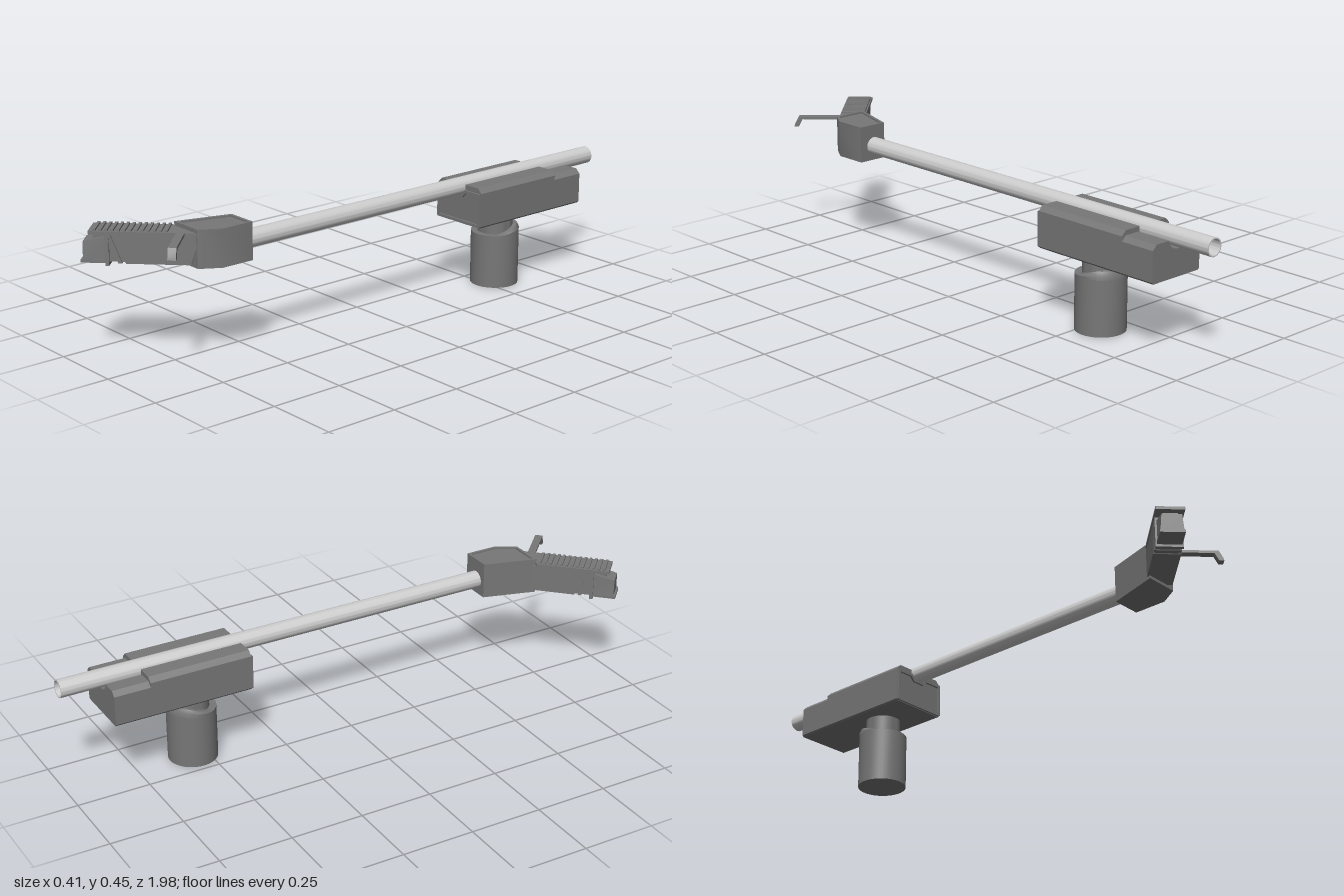
import * as THREE from 'three';
import { toCreasedNormals } from 'three/addons/utils/BufferGeometryUtils.js';

const dark = new THREE.MeshStandardMaterial({ color: 0x777777, side: THREE.DoubleSide });
const light = new THREE.MeshStandardMaterial({ color: 0xcccccc, side: THREE.DoubleSide });
const TUBE_X = 0.097, TUBE_Y = 0.376, TUBE_R = 0.03;

const poly = (pts) => new THREE.Shape(pts.map(([x, y]) => new THREE.Vector2(x, y)));
const extrude = (shape, depth) =>
  new THREE.ExtrudeGeometry(shape, { depth, bevelEnabled: false, curveSegments: 16 });

function add(parent, name, geometry, material = dark) {
  const mesh = new THREE.Mesh(toCreasedNormals(geometry, 0.6), material);
  mesh.name = name;
  parent.add(mesh);
  return mesh;
}

// Box given by its limits on each axis
function box(parent, name, x0, x1, y0, y1, z0, z1) {
  const g = new THREE.BoxGeometry(x1 - x0, y1 - y0, z1 - z0);
  g.translate((x0 + x1) / 2, (y0 + y1) / 2, (z0 + z1) / 2);
  return add(parent, name, g);
}

// Plan outline (x, z) raised from y0 to y1
function slab(parent, name, pts, y0, y1, hole) {
  const shape = poly(pts.map(([x, z]) => [x, -z]));
  if (hole) shape.holes.push(poly(hole.map(([x, z]) => [x, -z])));
  return add(parent, name, extrude(shape, y1 - y0).rotateX(-Math.PI / 2).translate(0, y0, 0));
}

// Side outline (z, y) spread from x0 to x1
function sideProfile(parent, name, pts, x0, x1) {
  const g = extrude(poly(pts.map(([z, y]) => [-z, y])), x1 - x0);
  return add(parent, name, g.rotateY(Math.PI / 2).translate(x0, 0, 0));
}

// Housing cross-section with a round channel for the tube
function housingShape(top, channel) {
  const c = 0.016, lo = 0.248, s = new THREE.Shape();
  const dy = top - TUBE_Y, dx = Math.sqrt(channel * channel - dy * dy);
  const a = Math.atan2(dy, dx);
  s.moveTo(0, lo);
  s.lineTo(0.2, lo);
  s.lineTo(0.205, lo + 0.006);
  s.lineTo(0.205, top - c);
  s.lineTo(0.205 - c, top);
  s.lineTo(TUBE_X + dx, top);
  s.absarc(TUBE_X, TUBE_Y, channel, a, -Math.PI - a, true);
  s.lineTo(-0.005 + c, top);
  s.lineTo(-0.005, top - c);
  s.lineTo(-0.005, lo + 0.006);
  s.closePath();
  return s;
}

function buildHousing() {
  const g = new THREE.Group();
  g.name = 'housing';
  add(g, 'housingBody', extrude(housingShape(0.386, 0.032), 0.355).translate(0, 0, -0.73));
  add(g, 'housingRear', extrude(housingShape(0.37, 0.038), 0.125).translate(0, 0, -0.855));
  // Raised rim around the front face
  const rim = poly([[0, 0.25], [0.2, 0.25], [0.203, 0.253], [0.203, 0.368], [0.13, 0.368],
    [0.117, 0.352], [0.077, 0.352], [0.064, 0.368], [-0.003, 0.368], [-0.003, 0.253]]);
  rim.holes.push(poly([[0.006, 0.26], [0.195, 0.26], [0.195, 0.358], [0.135, 0.358],
    [0.12, 0.342], [0.074, 0.342], [0.059, 0.358], [0.006, 0.358]]));
  add(g, 'frontRim', extrude(rim, 0.008).translate(0, 0, -0.376));
  return g;
}

function buildPost() {
  const g = new THREE.Group();
  g.name = 'post';
  g.position.set(0.1, 0, -0.547);
  add(g, 'postBody', new THREE.CylinderGeometry(0.083, 0.083, 0.187, 40).translate(0, 0.0935, 0));
  add(g, 'postNeck', new THREE.CylinderGeometry(0.06, 0.06, 0.075, 40).translate(0, 0.2175, 0));
  // Collar whose upper edge climbs toward the back
  const profile = [[0.062, 0.18], [0.083, 0.18], [0.083, 0.2], [0.076, 0.214], [0.062, 0.214], [0.062, 0.18]];
  const collar = new THREE.LatheGeometry(profile.map(([r, y]) => new THREE.Vector2(r, y)), 40);
  const p = collar.attributes.position;
  for (let i = 0; i < p.count; i++) {
    if (p.getY(i) < 0.19) continue;
    const t = THREE.MathUtils.clamp((0.04 - p.getZ(i)) / 0.08, 0, 1);
    p.setY(i, 0.187 + (p.getY(i) - 0.187) * t);
  }
  add(g, 'postCollar', collar);
  return g;
}

function buildElbow() {
  const g = new THREE.Group();
  g.name = 'elbow';
  const outline = [[0.05, 0.555], [0.155, 0.555], [0.155, 0.67], [0.115, 0.735], [-0.003, 0.735]];
  const inner = [[0.058, 0.564], [0.146, 0.564], [0.146, 0.667], [0.11, 0.726], [0.01, 0.726]];
  slab(g, 'elbowBody', outline, 0.325, 0.444);
  slab(g, 'elbowTopRim', outline, 0.444, 0.45, inner);
  return g;
}

// Grip is laid out along local z and turned 45 degrees
function buildGrip() {
  const g = new THREE.Group();
  g.name = 'grip';
  g.rotation.y = -Math.PI / 4;
  box(g, 'gripCore', 0.516, 0.588, 0.338, 0.428, 0.48, 0.72);
  sideProfile(g, 'gripBody',
    [[0.46, 0.335], [0.66, 0.335], [0.705, 0.428], [0.43, 0.428]], 0.51, 0.597);
  sideProfile(g, 'gripStrut',
    [[0.672, 0.335], [0.684, 0.335], [0.722, 0.428], [0.708, 0.428]], 0.511, 0.596);
  box(g, 'gripFlange', 0.51, 0.597, 0.326, 0.43, 0.712, 0.724);
  slab(g, 'gripTopPlate',
    [[0.507, 0.527], [0.598, 0.436], [0.598, 0.775], [0.507, 0.775]], 0.427, 0.437);
  for (let i = 0; i < 13; i++) {
    const z = 0.53 + i * 0.0185;
    box(g, 'gripRib', 0.512, 0.593, 0.436, 0.443, z, z + 0.009);
  }
  // End plug tapering outward
  const plug = new THREE.BoxGeometry(0.074, 0.08, 0.075);
  const p = plug.attributes.position;
  for (let i = 0; i < p.count; i++) {
    if (p.getZ(i) > 0 && p.getY(i) > 0) {
      p.setX(i, p.getX(i) * 0.85);
      p.setY(i, 0.022);
    }
  }
  add(g, 'endPlug', plug.translate(0.553, 0.378, 0.757));
  box(g, 'endPlugCap', 0.53, 0.576, 0.405, 0.42, 0.724, 0.765);
  box(g, 'endPlugLip', 0.514, 0.592, 0.334, 0.344, 0.722, 0.801);
  // Lever with a hooked tip
  const lever = poly([[0.58, 0.428], [0.728, 0.428], [0.742, 0.402], [0.758, 0.402],
    [0.755, 0.412], [0.742, 0.437], [0.58, 0.437]]);
  add(g, 'lever', extrude(lever, 0.026).translate(0, 0, 0.478));
  return g;
}

export function createModel() {
  const model = new THREE.Group();
  model.name = 'tillerArm';
  // Hollow shaft
  const ring = new THREE.Shape().absarc(0, 0, TUBE_R, 0, Math.PI * 2);
  ring.holes.push(new THREE.Path().absarc(0, 0, TUBE_R - 0.004, 0, Math.PI * 2));
  add(model, 'shaft', extrude(ring, 1.58).translate(TUBE_X, TUBE_Y, -1), light);
  model.add(buildHousing(), buildPost(), buildElbow(), buildGrip());
  return model;
}
